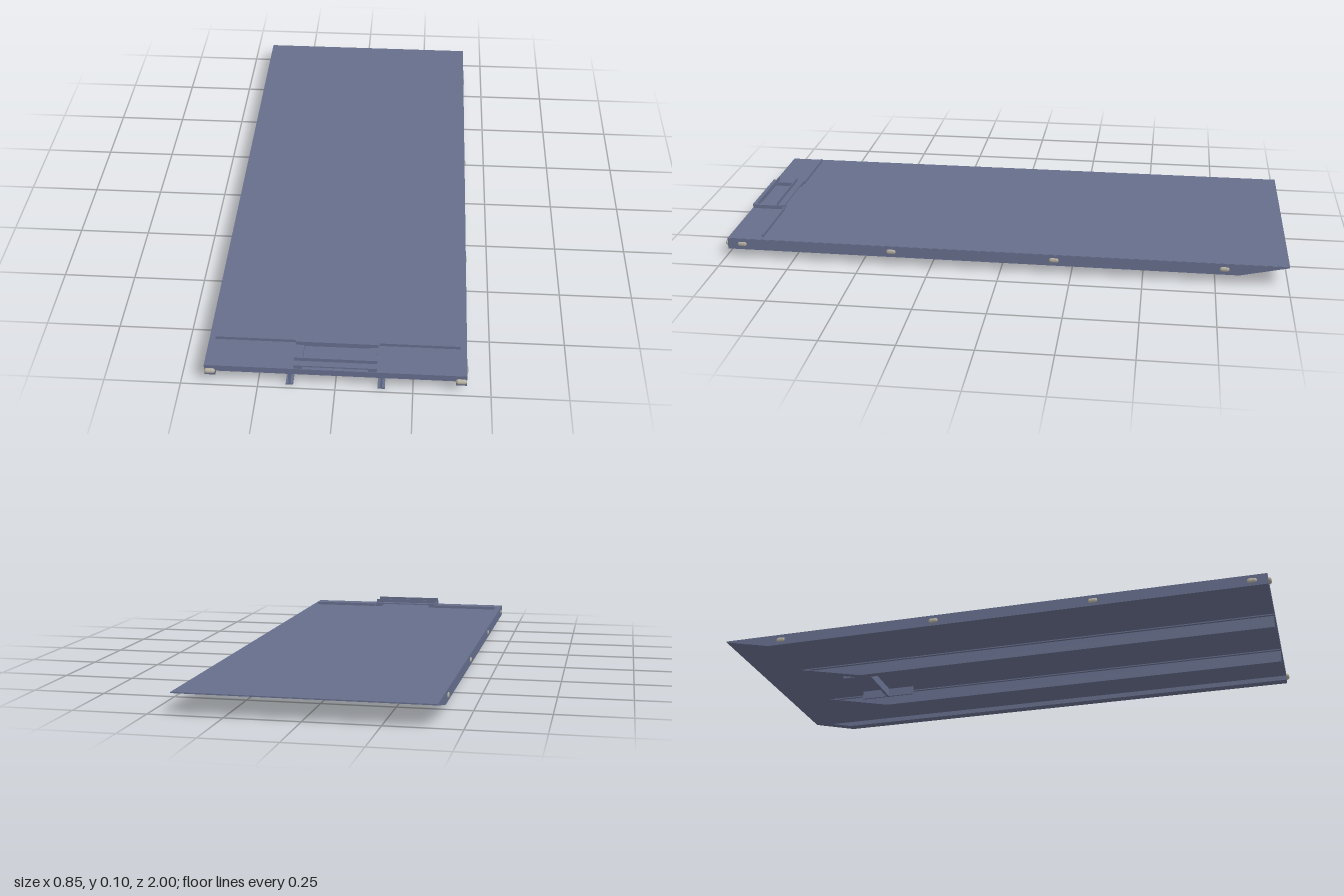
import * as THREE from 'three';

const paint = new THREE.MeshStandardMaterial({ color: 0x666e8c, side: THREE.DoubleSide });
const lens = new THREE.MeshStandardMaterial({ color: 0xb0ab9c });

export function createModel() {
  const model = new THREE.Group();

  const add = (name, geometry, material = paint) => {
    const mesh = new THREE.Mesh(geometry, material);
    mesh.name = name;
    model.add(mesh);
    return mesh;
  };
  // Box given by its limits on each axis
  const box = (name, x0, x1, y0, y1, z0, z1) => {
    const mesh = add(name, new THREE.BoxGeometry(x1 - x0, y1 - y0, z1 - z0));
    mesh.position.set((x0 + x1) / 2, (y0 + y1) / 2, (z0 + z1) / 2);
  };
  // Side outline of [z, y] points, extruded from x0 to x1
  const profile = (name, points, x0, x1) => {
    const shape = new THREE.Shape(points.map(([z, y]) => new THREE.Vector2(-z, y)));
    const g = new THREE.ExtrudeGeometry(shape, { depth: x1 - x0, bevelEnabled: false });
    g.rotateY(Math.PI / 2).translate(x0, 0, 0);
    add(name, g);
  };

  // Deck with a bevelled rear edge
  profile('deck', [[0.988, 0.052], [0.988, 0.075], [-1, 0.075], [-1, 0.071], [-0.915, 0.052]], -0.42, 0.42);

  for (const s of [-1, 1]) {
    const span = (a, b) => (s > 0 ? [a, b] : [-b, -a]);

    // Edge rails, cut up at the rear
    profile('sideRail', [[0.988, 0.034], [0.988, 0.074], [-1, 0.074], [-1, 0.071], [-0.83, 0.034]], ...span(0.386, 0.421));

    // I-beams: web and top flange, with the bottom flange bending up at the rear
    profile('beamWeb', [[0.985, 0.002], [0.985, 0.052], [-0.82, 0.052], [-0.57, 0.002]], ...span(0.145, 0.151));
    box('beamTopFlange', ...span(0.136, 0.16), 0.048, 0.053, -0.8, 0.985);
    profile('beamBottomFlange', [[0.985, 0], [0.985, 0.005], [-0.57, 0.005], [-0.81, 0.052], [-0.82, 0.052], [-0.57, 0]], ...span(0.136, 0.16));

    // Side plates of the underside bracket
    box('bracketSidePlate', ...span(0.1, 0.106), 0.02, 0.053, -0.66, -0.45);

    // Low stop strip on the deck
    box('stopStrip', ...span(0.136, 0.4), 0.074, 0.086, 0.861, 0.867);

    // Side feet of the top frame
    box('frameFoot', ...span(0.106, 0.133), 0.074, 0.089, 0.865, 0.986);

    // Marker lamps along the sides
    for (const z of [0.935, 0.39, -0.19, -0.78]) {
      const g = new THREE.CapsuleGeometry(0.009, 0.016, 4, 12).rotateX(Math.PI / 2).scale(0.6, 1, 1);
      add('sideLamp', g, lens).position.set(s * 0.42, 0.054, z);
    }
    // Front lamps
    const g = new THREE.CapsuleGeometry(0.009, 0.018, 4, 12).rotateZ(Math.PI / 2);
    add('frontLamp', g, lens).position.set(s * 0.403, 0.054, 0.99);
  }

  // Cross plate of the underside bracket
  box('bracketCrossPlate', -0.106, 0.106, 0.02, 0.053, -0.56, -0.55);

  // Two angle bars across the top frame, lips facing inward
  for (const [z0, z1, lip] of [[0.865, 0.891, 0.889], [0.962, 0.987, 0.962]]) {
    box('frameBar', -0.133, 0.133, 0.085, 0.09, z0, z1);
    box('frameLip', -0.133, 0.133, 0.085, 0.103, lip, lip + 0.003);
  }
  return model;
}
